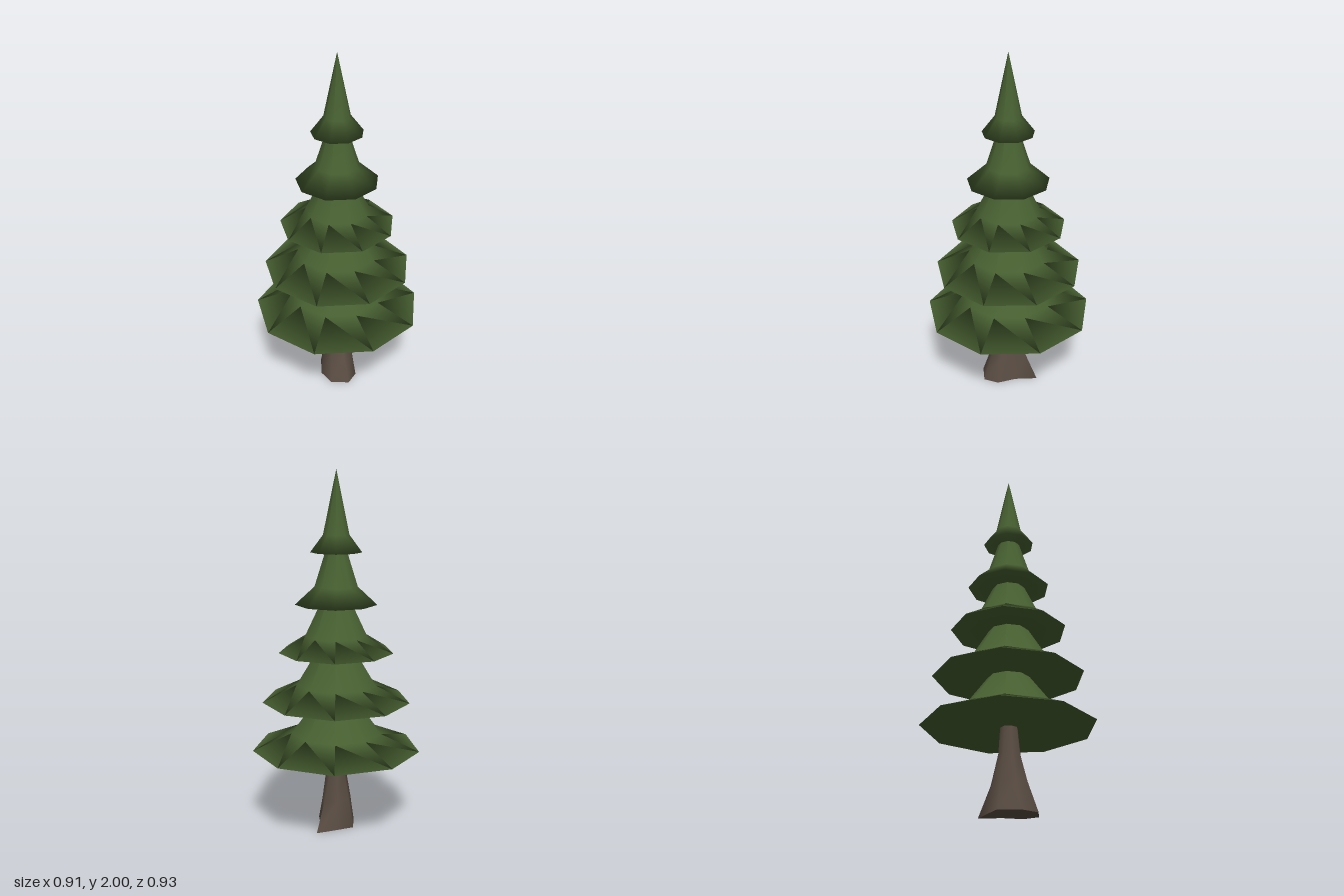
import * as THREE from 'three';
import { mergeVertices } from 'three/addons/utils/BufferGeometryUtils.js';

const needles = new THREE.MeshStandardMaterial({ color: 0x465e30 });
needles.name = 'needleGreen';
const bark = new THREE.MeshStandardMaterial({ color: 0x5a4d43 });
bark.name = 'barkBrown';

const AXIS_X = -0.015; // the tree leans a touch off centre

// Bough tiers: rim radius, rim height, bend radius, bend height, apex height
const TIERS = [
  [0.47, 0.46, 0.253, 0.552, 0.885],
  [0.412, 0.737, 0.222, 0.83, 1.19],
  [0.318, 1.014, 0.173, 1.104, 1.465],
  [0.227, 1.28, 0.119, 1.377, 1.755],
  [0.142, 1.562, 0.072, 1.655, 2.0],
];

// Flared skirt with a nearly flat underside, nine sides, smooth normals
function boughTier([rim, rimY, bend, bendY, apexY]) {
  const profile = [
    new THREE.Vector2(0, rimY - 0.006),
    new THREE.Vector2(rim, rimY),
    new THREE.Vector2(bend, bendY),
    new THREE.Vector2(0, apexY),
  ];
  return new THREE.LatheGeometry(profile, 9, Math.PI / 2);
}

// Root outline on the ground as [x, z], counter-clockwise seen from above
const ROOTS = [
  [0.01, 0.165], [0.07, 0.1], [0.075, -0.01], [0.115, -0.13],
  [0.0, -0.105], [-0.1, -0.08], [-0.125, 0.04], [-0.09, 0.135],
];
// Trunk rings above the roots: height, radius, z offset, share of root shape
const RINGS = [
  [0, 0, 0, 1],
  [0.16, 0.072, 0.004, 0.35],
  [0.31, 0.056, 0.003, 0.05],
  [0.52, 0.042, 0, 0],
];

function trunkSides() {
  const n = ROOTS.length;
  const geo = new THREE.CylinderGeometry(1, 1, 1, n, RINGS.length - 1, true);
  const pos = geo.attributes.position;
  for (let i = 0; i < pos.count; i++) {
    const k = i % (n + 1);
    // cylinder rows run from the top down
    const ring = RINGS[RINGS.length - 1 - Math.floor(i / (n + 1))];
    const [y, r, dz, mix] = ring;
    const a = (k / n) * Math.PI * 2;
    const [rx, rz] = ROOTS[k % n];
    pos.setXYZ(
      i,
      THREE.MathUtils.lerp(AXIS_X + r * Math.sin(a), rx, mix),
      y,
      THREE.MathUtils.lerp(dz + r * Math.cos(a), rz, mix)
    );
  }
  geo.deleteAttribute('uv');
  geo.deleteAttribute('normal');
  const merged = mergeVertices(geo);
  merged.computeVertexNormals();
  return merged;
}

// Flat sole closing the roots, facing down
function trunkSole() {
  const shape = new THREE.Shape(ROOTS.map(([x, z]) => new THREE.Vector2(x, z)));
  return new THREE.ShapeGeometry(shape).rotateX(Math.PI / 2);
}

export function createModel() {
  const tree = new THREE.Group();
  tree.name = 'pineTree';

  const trunk = new THREE.Group();
  trunk.name = 'trunk';
  const sides = new THREE.Mesh(trunkSides(), bark);
  sides.name = 'trunkSides';
  const sole = new THREE.Mesh(trunkSole(), bark);
  sole.name = 'trunkBase';
  trunk.add(sides, sole);
  tree.add(trunk);

  TIERS.forEach((tier, i) => {
    const mesh = new THREE.Mesh(boughTier(tier), needles);
    mesh.name = `boughTier${i + 1}`;
    mesh.position.x = AXIS_X;
    tree.add(mesh);
  });
  return tree;
}
